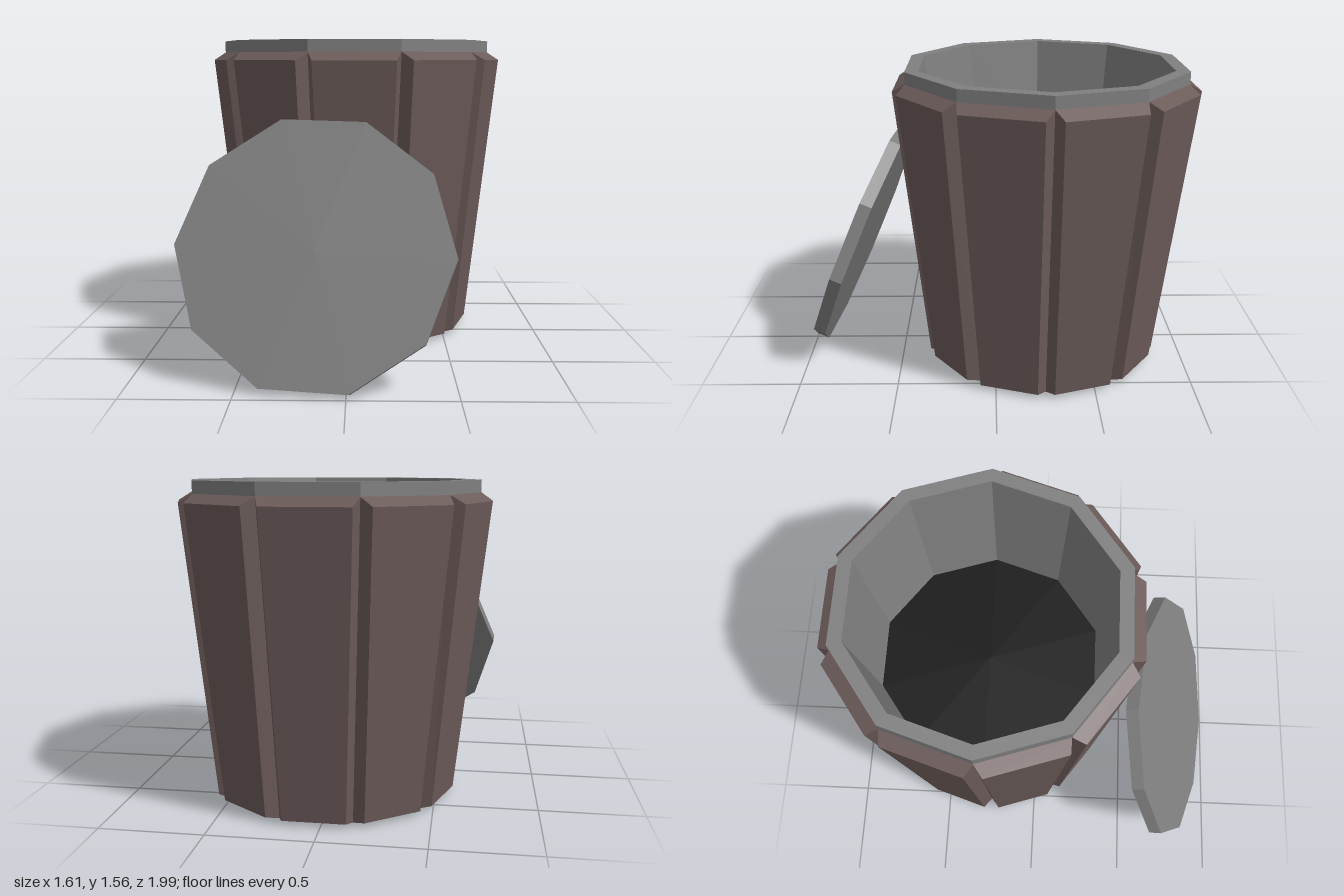
import * as THREE from 'three';

const SIDES = 10;
const HALF = Math.PI / SIDES;
const wood = new THREE.MeshStandardMaterial({ color: 0x6b5b59, flatShading: true });
const metal = new THREE.MeshStandardMaterial({ color: 0x808080, flatShading: true });
const dark = new THREE.MeshStandardMaterial({ color: 0x101010, flatShading: true });

function part(name, geometry, material) {
  const mesh = new THREE.Mesh(geometry, material);
  mesh.name = name;
  return mesh;
}

// Ten-sided turned shape with corners on the x axis
function turned(profile) {
  const points = profile.map(([r, y]) => new THREE.Vector2(r, y));
  return new THREE.LatheGeometry(points, SIDES, Math.PI / 2);
}

// Panel facing +z: a wide inner quad joined by bevels to a narrower outer quad
function staveGeometry() {
  const quad = (hBottom, yBottom, zBottom, hTop, yTop, zTop) => [
    [-hBottom, yBottom, zBottom], [hBottom, yBottom, zBottom],
    [hTop, yTop, zTop], [-hTop, yTop, zTop],
  ];
  const apothem = (r) => r * Math.cos(HALF);
  const half = (r) => r * Math.sin(HALF);
  const inner = quad(half(0.56), 0.008, apothem(0.56), half(0.72), 1.5, apothem(0.72));
  const outer = quad(0.15, 0.025, 0.6, 0.2, 1.46, 0.75);
  const positions = [];
  const face = (a, b, c, d) => positions.push(...a, ...b, ...c, ...a, ...c, ...d);
  face(...outer);
  for (let i = 0; i < 4; i++) {
    const j = (i + 1) % 4;
    face(inner[i], inner[j], outer[j], outer[i]);
  }
  const geometry = new THREE.BufferGeometry();
  geometry.setAttribute('position', new THREE.Float32BufferAttribute(positions, 3));
  geometry.computeVertexNormals();
  return geometry;
}

export function createModel() {
  const model = new THREE.Group();
  model.name = 'binWithLid';

  // Tapered bin standing behind the lid
  const bin = new THREE.Group();
  bin.name = 'bin';
  bin.position.set(0.03, 0, -0.25);
  model.add(bin);

  bin.add(part('core', turned([[0, 0.008], [0.56, 0.008], [0.72, 1.5]]), wood));

  // Rim and sloping inner wall
  bin.add(part('rimAndLining', turned([[0.72, 1.5], [0.72, 1.56], [0.65, 1.56], [0.575, 0.9]]), metal));

  // Dark inner floor
  const floor = part('innerFloor', new THREE.CircleGeometry(0.575, SIDES), dark);
  floor.rotation.x = -Math.PI / 2;
  floor.position.y = 0.9;
  bin.add(floor);

  // Ring of staves
  const geometry = staveGeometry();
  for (let i = 0; i < SIDES; i++) {
    const stave = part('stave', geometry, wood);
    stave.rotation.y = i * 2 * HALF;
    bin.add(stave);
  }

  // Lid leaning against the front of the bin
  const thickness = 0.063;
  const lid = part('lid', new THREE.CylinderGeometry(0.652, 0.652, thickness, SIDES), metal);
  const normal = new THREE.Vector3(-0.091, 0.372, 0.924).normalize();
  const side = new THREE.Vector3().crossVectors(normal, new THREE.Vector3(0.647, -0.015, 0.07)).normalize();
  const corner = new THREE.Vector3().crossVectors(side, normal);
  lid.quaternion.setFromRotationMatrix(new THREE.Matrix4().makeBasis(side, normal, corner));
  lid.position.set(-0.152, 0.605, 0.745).addScaledVector(normal, -thickness / 2);
  model.add(lid);

  return model;
}
